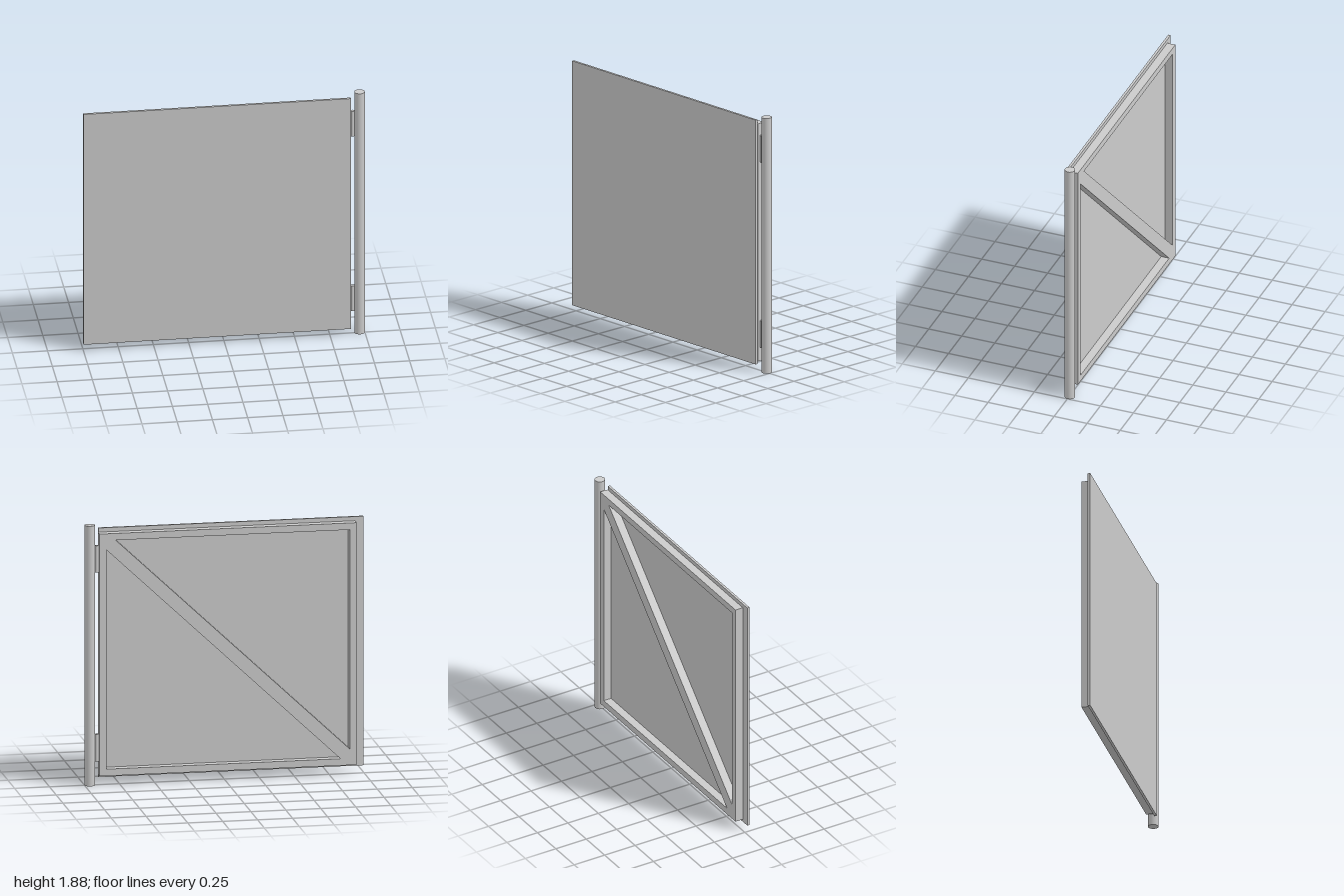
import * as THREE from 'three';

const material = new THREE.MeshStandardMaterial({ color: 0xcccccc });

function add(group, name, geometry, x, y, z) {
  const mesh = new THREE.Mesh(geometry, material);
  mesh.name = name;
  mesh.position.set(x, y, z);
  group.add(mesh);
  return mesh;
}

// Closed path through corner points
function trace(path, points) {
  path.setFromPoints(points.map(([x, y]) => new THREE.Vector2(x, y)));
  path.closePath();
  return path;
}

export function createModel() {
  const gate = new THREE.Group();
  gate.name = 'gate';

  // Cladding sheet on the front, overhanging the frame
  add(gate, 'panel', new THREE.BoxGeometry(1.896, 1.8, 0.018), -0.052, 0.95, 0.029);

  // Frame with a diagonal brace: one plate with two triangular openings
  const left = -0.94, right = 0.9, bottom = 0.07, top = 1.82;
  const bar = 0.049, gap = 0.067;
  const x0 = left + bar, x1 = right - bar, y0 = bottom + bar, y1 = top - bar;
  const outline = trace(new THREE.Shape(), [[left, bottom], [right, bottom], [right, top], [left, top]]);
  outline.holes.push(
    trace(new THREE.Path(), [[x0, y0 + gap], [x0, y1], [x1 - gap, y1]]),
    trace(new THREE.Path(), [[x0 + gap, y0], [x1, y1 - gap], [x1, y0]])
  );
  add(gate, 'bracedFrame', new THREE.ExtrudeGeometry(outline, { depth: 0.06, bevelEnabled: false }), 0, 0, -0.04);

  // Round hinge post
  add(gate, 'post', new THREE.CylinderGeometry(0.037, 0.037, 1.88, 32), 0.963, 0.94, -0.005);

  // Hinge barrels between frame and post
  for (const y of [0.27, 1.635]) {
    add(gate, 'hinge', new THREE.CylinderGeometry(0.015, 0.015, 0.195, 24), 0.914, y, -0.008);
  }
  return gate;
}
